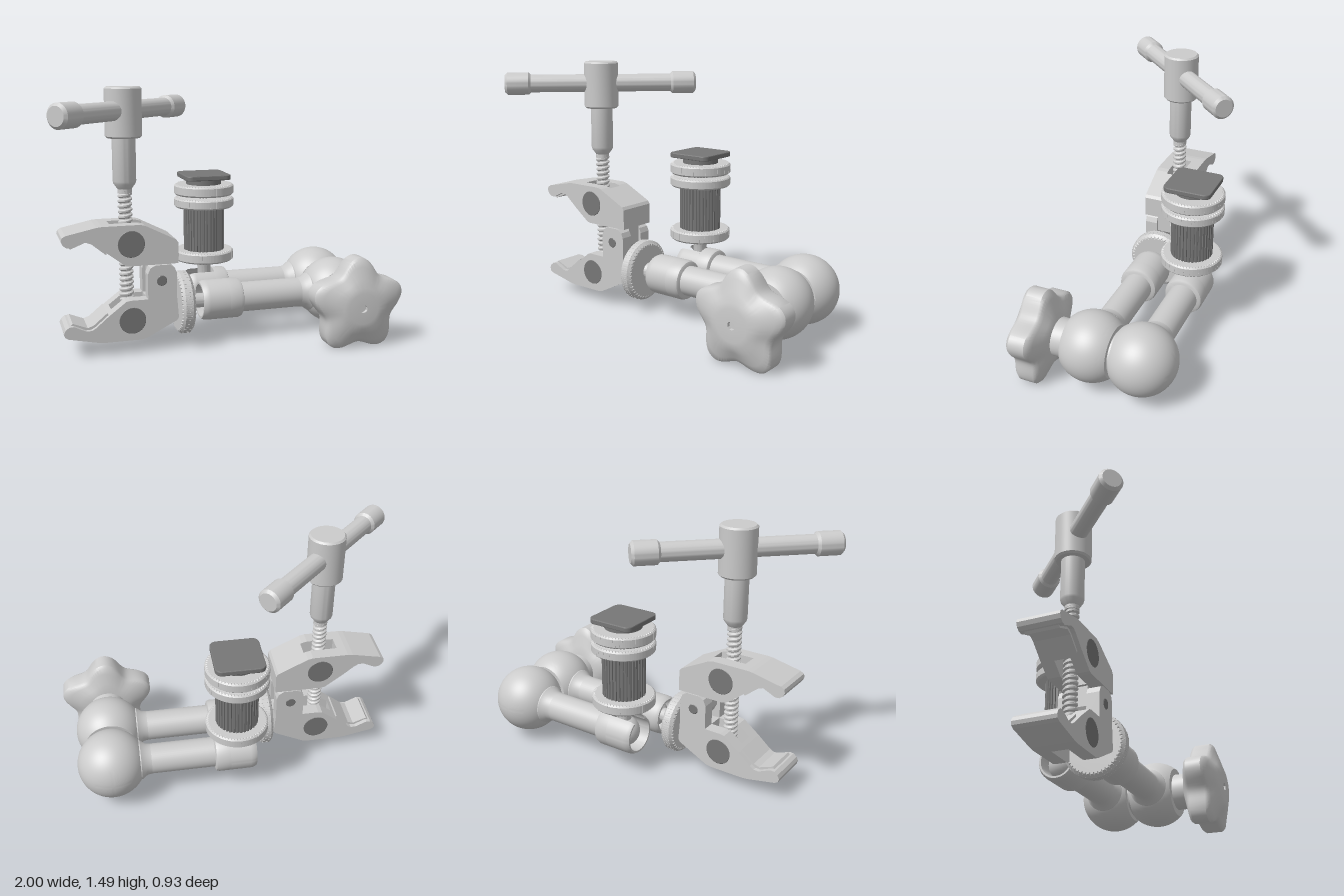
import * as THREE from 'three';
import { toCreasedNormals } from 'three/addons/utils/BufferGeometryUtils.js';

const grey = new THREE.MeshStandardMaterial({ color: 0xcccccc });
const greyOpen = new THREE.MeshStandardMaterial({ color: 0xcccccc, side: THREE.DoubleSide });
const dark = new THREE.MeshStandardMaterial({ color: 0x777777 });
const TAU = Math.PI * 2;
const Z0 = 0.02, ARM_Y = 0.24, REAR_Z = -0.27;

function add(parent, name, geo, pos = [0, 0, 0], mat = grey) {
  const m = new THREE.Mesh(geo, mat);
  m.name = name;
  m.position.set(...pos);
  parent.add(m);
  return m;
}

// Turn a y-axis geometry onto x or z
function along(geo, axis) {
  if (axis === 'x') geo.rotateZ(-Math.PI / 2);
  if (axis === 'z') geo.rotateX(Math.PI / 2);
  return geo;
}

// Turned part from [radius, height] pairs
function turned(pts, axis = 'y', seg = 48, start = 0, length = TAU) {
  const g = new THREE.LatheGeometry(pts.map(p => new THREE.Vector2(...p)), seg, start, length);
  return toCreasedNormals(along(g, axis), 0.5);
}

// Cylinder between a and b with softened rims
const rod = (r, a, b, axis = 'y', c = 0.01) =>
  turned([[0, a], [r - c, a], [r, a + c], [r, b - c], [r - c, b], [0, b]], axis);

// Knurled wheel or barrel from a to b
function knurled(r, a, b, teeth, depth, bevel, axis = 'y') {
  const pts = [];
  for (let i = 0; i < teeth; i++) {
    [[0, 0], [0.5, 0], [0.62, depth], [0.88, depth]].forEach(([f, d]) => {
      const t = (i + f) / teeth * TAU, q = r - bevel - d;
      pts.push(new THREE.Vector2(Math.cos(t) * q, Math.sin(t) * q));
    });
  }
  const g = new THREE.ExtrudeGeometry(new THREE.Shape(pts), {
    depth: b - a - 2 * bevel, bevelEnabled: bevel > 0, bevelSize: bevel, bevelThickness: bevel, bevelSegments: 1 });
  g.translate(0, 0, a + bevel).rotateX(-Math.PI / 2);
  return along(g, axis);
}

// Slab of an xy outline between two z values
function slab(pts, z1, z2) {
  const g = new THREE.ExtrudeGeometry(new THREE.Shape(pts.map(p => new THREE.Vector2(...p))),
    { depth: z2 - z1, bevelEnabled: false });
  return g.translate(0, 0, z1);
}

// Keep the part of an outline on one side of x = lim
function clip(pts, lim, sign) {
  const out = [];
  pts.forEach((p, i) => {
    const q = pts[(i + 1) % pts.length], a = (p[0] - lim) * sign, b = (q[0] - lim) * sign;
    if (a >= 0) out.push(p);
    if (a * b < 0) out.push([lim, p[1] + (q[1] - p[1]) * a / (a - b)]);
  });
  return out;
}

function clamp() {
  const g = new THREE.Group();
  g.name = 'clamp';
  g.position.z = Z0;
  const jaw = [[-0.925, 0.667], [-0.92, 0.686], [-0.9, 0.698], [-0.73, 0.734], [-0.7, 0.737], [-0.49, 0.737],
    [-0.46, 0.73], [-0.285, 0.642], [-0.273, 0.625], [-0.273, 0.505], [-0.55, 0.505], [-0.575, 0.51],
    [-0.674, 0.585], [-0.745, 0.645], [-0.77, 0.66], [-0.8, 0.661], [-0.87, 0.628], [-0.895, 0.63], [-0.915, 0.645]];
  const pad = [[-0.885, 0.63], [-0.81, 0.668], [-0.76, 0.664], [-0.67, 0.59], [-0.678, 0.572],
    [-0.757, 0.638], [-0.79, 0.65], [-0.873, 0.617]];
  const flip = pts => pts.map(([x, y]) => [x, 0.812 - y]);
  const lower = flip(jaw);
  // Lower side plates rise into hinge cheeks
  const cheek = [...lower];
  cheek.splice(9, 1, [-0.283, 0.307], [-0.283, 0.45], [-0.295, 0.48], [-0.325, 0.5],
    [-0.405, 0.5], [-0.435, 0.485], [-0.45, 0.45], [-0.45, 0.307]);
  [['upperJaw', jaw, jaw, pad, 0.63], ['lowerJaw', lower, cheek, flip(pad), 0.19]].forEach(([name, mid, side, p, y]) => {
    add(g, name + 'Side', slab(side, 0.045, 0.12));
    add(g, name + 'Side', slab(side, -0.12, -0.045));
    // Middle is split to leave the screw slot
    add(g, name + 'Tip', slab(clip(mid, -0.65, -1), -0.045, 0.045));
    add(g, name + 'Heel', slab(clip(mid, -0.45, 1), -0.045, 0.045));
    add(g, name + 'Pad', slab(p, -0.095, 0.095));
    [1, -1].forEach(s => add(g, name + 'Pin', rod(0.077, -0.015, 0.015, 'z', 0.003), [-0.54, y, s * 0.107], dark));
  });
  add(g, 'hingeTab', slab([[-0.43, 0.52], [-0.43, 0.39], [-0.41, 0.35], [-0.37, 0.335], [-0.33, 0.35],
    [-0.3, 0.39], [-0.3, 0.52]], -0.043, 0.043));
  add(g, 'hingePin', rod(0.03, -0.123, 0.123, 'z', 0.003), [-0.37, 0.41, 0], dark);
  return g;
}

function screw() {
  const g = new THREE.Group();
  g.name = 'clampScrew';
  g.position.set(-0.55, 0, Z0);
  // Helical thread: rings sheared by one pitch per turn
  const pitch = 0.03, pts = [];
  for (let i = 0; i < 26; i++) {
    [[0.031, 0], [0.041, 0.25], [0.041, 0.55], [0.031, 0.8]].forEach(([r, f]) =>
      pts.push(new THREE.Vector2(r, 0.13 + (i + f) * pitch)));
  }
  const thread = new THREE.LatheGeometry(pts, 24), p = thread.attributes.position;
  for (let i = 0; i < p.count; i++) p.setY(i, p.getY(i) + pitch * Math.floor(i / pts.length) / 24);
  add(g, 'thread', toCreasedNormals(thread, 0.5));
  add(g, 'shank', turned([[0, 0.9], [0.04, 0.9], [0.04, 0.925], [0.062, 0.955], [0.066, 0.97], [0.066, 1.23], [0, 1.23]]));
  add(g, 'head', rod(0.103, 1.21, 1.49));
  const bar = new THREE.Group();
  bar.name = 'teeHandle';
  bar.position.y = 1.36;
  bar.rotation.y = Math.PI / 4;
  add(bar, 'handleBar', rod(0.053, -0.5, 0.5, 'x'));
  add(bar, 'handleCap', rod(0.067, 0.42, 0.575, 'x', 0.015));
  add(bar, 'handleCap', rod(0.067, -0.575, -0.42, 'x', 0.015));
  g.add(bar);
  return g;
}

// Arm with a hollow socket at one end and a cut ball at the other
function arm(name, z, ballBack, gap) {
  const g = new THREE.Group();
  g.name = name;
  g.position.set(0, ARM_Y, z);
  add(g, 'armRod', rod(0.088, 0.1, 0.7, 'x'));
  add(g, 'armFillet', turned([[0.088, 0.5], [0.093, 0.53], [0.115, 0.56], [0.115, 0.6]], 'x'));
  add(g, 'collar', turned([[0, 0.04], [0.118, 0.04], [0.118, 0.105], [0.112, 0.122], [0.1, 0.128], [0, 0.128]], 'x'));
  add(g, 'socketWall', turned([[0.095, 0.04], [0.095, -0.118], [0.106, -0.118], [0.116, -0.1], [0.118, -0.08], [0.118, 0.04]],
    'x', 48, Math.PI * 1.5 + gap / 2, TAU - gap), [0, 0, 0], greyOpen);
  add(g, 'socketBall', new THREE.SphereGeometry(0.09, 32, 20), [-0.01, 0, 0]);
  const arc = [[0, ballBack]], a = Math.asin(ballBack / 0.2), b = Math.asin(0.135 / 0.2);
  for (let i = 0; i <= 28; i++) {
    const t = a + (b - a) * i / 28;
    arc.push([Math.max(0, 0.2 * Math.cos(t)), 0.2 * Math.sin(t)]);
  }
  arc.push([0, 0.135]);
  add(g, 'elbowBall', turned(arc, 'z', 64), [0.73, 0, 0]);
  return g;
}

function starKnob() {
  const g = new THREE.Group();
  g.name = 'starKnob';
  g.position.set(0.73, ARM_Y, 0);
  add(g, 'elbowWasher', rod(0.12, -0.16, -0.1, 'z'));
  add(g, 'knobShaft', rod(0.11, 0.14, 0.25, 'z'));
  // Round profile pushed into five lobes away from the hub
  const prof = [[0, 0.23], [0.115, 0.23], [0.16, 0.247], [0.21, 0.268], [0.238, 0.28], [0.249, 0.296], [0.249, 0.39],
    [0.238, 0.406], [0.21, 0.418], [0.16, 0.44], [0.12, 0.455], [0.09, 0.46], [0.022, 0.46], [0.022, 0.44], [0, 0.44]];
  const star = new THREE.LatheGeometry(prof.map(p => new THREE.Vector2(...p)), 100).rotateX(Math.PI / 2);
  const p = star.attributes.position;
  for (let i = 0; i < p.count; i++) {
    const x = p.getX(i), y = p.getY(i), r = Math.hypot(x, y);
    if (r < 0.12) continue;
    const s = 1 + 0.035 * Math.cos(5 * (Math.atan2(y, x) - Math.PI / 2)) * (r - 0.12) / 0.129 / r;
    p.setXY(i, x * s, y * s);
  }
  add(g, 'starGrip', toCreasedNormals(star, 0.6));
  return g;
}

function shoeMount() {
  const g = new THREE.Group();
  g.name = 'shoeMount';
  g.position.set(-0.01, 0, REAR_Z);
  add(g, 'stem', turned([[0, 0.27], [0.04, 0.27], [0.04, 0.37], [0.047, 0.39], [0.047, 0.43], [0, 0.43]]));
  add(g, 'lowerRing', knurled(0.182, 0.42, 0.485, 60, 0.007, 0.01));
  add(g, 'barrel', knurled(0.124, 0.48, 0.765, 36, 0.006, 0), [0, 0, 0], dark);
  add(g, 'middleRing', knurled(0.182, 0.75, 0.81, 60, 0.007, 0.01));
  add(g, 'middleRingCone', turned([[0, 0.8], [0.165, 0.809], [0.08, 0.83], [0, 0.83]]));
  add(g, 'upperRing', knurled(0.182, 0.826, 0.89, 60, 0.007, 0.01));
  add(g, 'shoeNeck', rod(0.107, 0.88, 0.93, 'y', 0.002), [0, 0, 0], dark);
  // Square foot with rounded corners
  const h = 0.135, c = 0.035, s = new THREE.Shape();
  [[1, 1], [-1, 1], [-1, -1], [1, -1]].forEach(([x, y], i) =>
    s.absarc(x * (h - c), y * (h - c), c, i * Math.PI / 2, (i + 1) * Math.PI / 2));
  const plate = new THREE.ExtrudeGeometry(s, { depth: 0.02, bevelSize: 0.005, bevelThickness: 0.005, bevelSegments: 2 });
  add(g, 'shoePlate', plate.rotateX(-Math.PI / 2), [0, 0.929, 0], dark);
  return g;
}

export function createModel() {
  const model = new THREE.Group();
  model.name = 'articulatedClampArm';
  model.add(clamp(), screw(), starKnob(), shoeMount());
  model.add(arm('frontArm', Z0, -0.135, 0), arm('rearArm', REAR_Z, -0.2, 1));
  // Locking wheel joining the clamp to the front arm
  const wheel = new THREE.Group();
  wheel.name = 'lockingWheel';
  wheel.position.set(0, ARM_Y, Z0);
  add(wheel, 'wheelRim', knurled(0.182, -0.262, -0.182, 44, 0.008, 0.018, 'x'));
  add(wheel, 'wheelStem', turned([[0, -0.29], [0.05, -0.29], [0.05, -0.18], [0.042, -0.16], [0.042, -0.06], [0, -0.06]], 'x'));
  model.add(wheel);
  return model;
}
